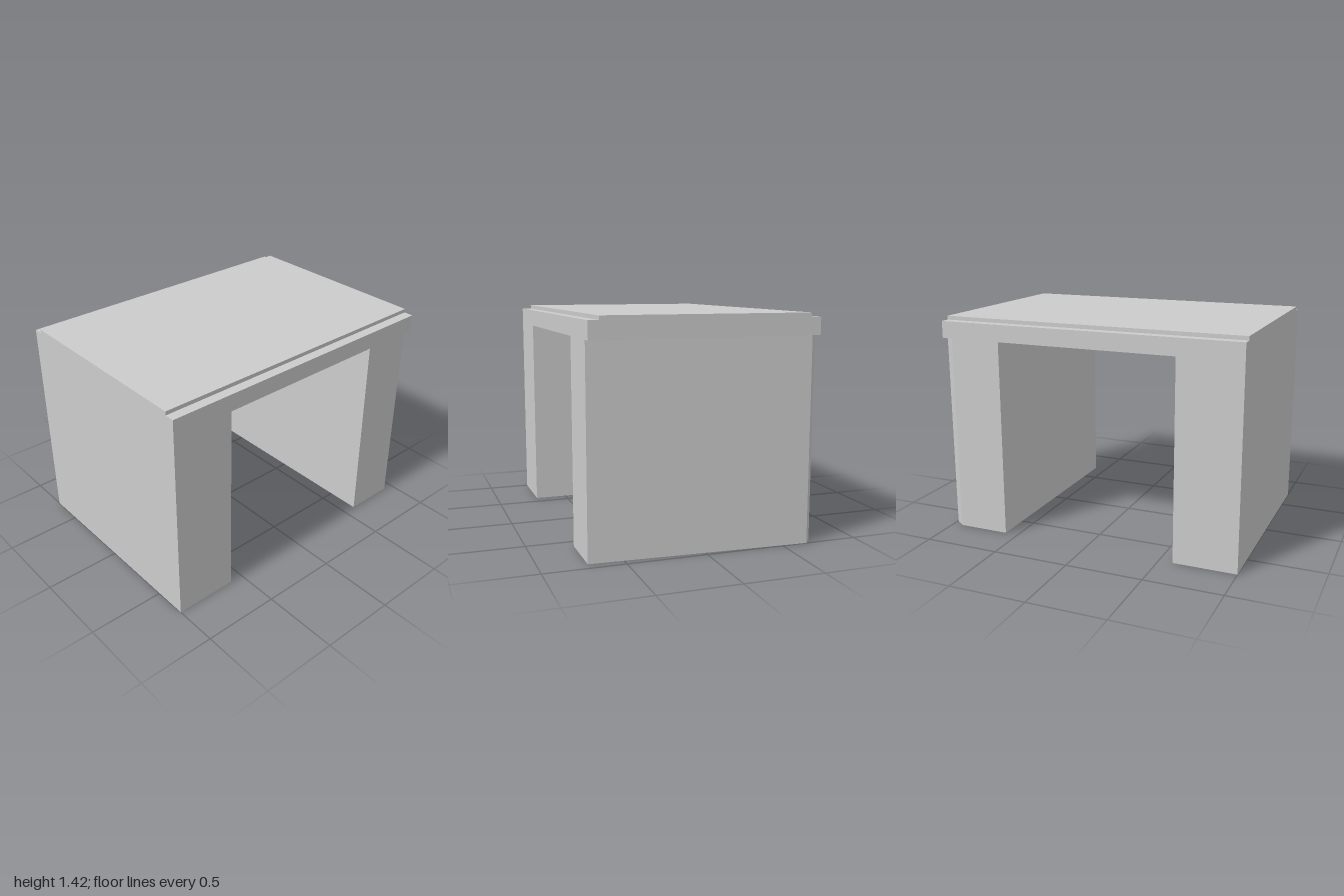
import * as THREE from 'three';

const material = new THREE.MeshStandardMaterial({ color: 0xcccccc, flatShading: true });

// Upright prism from a floor outline of [x, z] points between two heights
function prism(name, outline, y0, y1) {
  const shape = new THREE.Shape(outline.map(([x, z]) => new THREE.Vector2(x, -z)));
  const geometry = new THREE.ExtrudeGeometry(shape, { depth: y1 - y0, bevelEnabled: false });
  geometry.rotateX(-Math.PI / 2).translate(0, y0, 0);
  const mesh = new THREE.Mesh(geometry, material);
  mesh.name = name;
  return mesh;
}

export function createModel() {
  const group = new THREE.Group();
  group.name = 'archBlock';
  const front = 0.717, inner = 0.59, legTop = 1.288, slabTop = 1.398, top = 1.423;

  // Plain straight leg
  group.add(prism('rightLeg',
    [[-1, front], [-inner, front], [-inner, -0.72], [-1, -0.72]], 0, legTop));

  // Leg with a tapering outer wall and a chamfered back corner
  group.add(prism('leftLeg',
    [[inner, front], [0.932, front], [1, -0.663], [0.932, -0.717], [inner, -0.717]], 0, legTop));

  // Slab bridging the legs, its back edge very slightly skewed
  group.add(prism('slab',
    [[-1, front], [1, front], [1, -0.717], [-1, -0.72]], legTop, slabTop));

  // Thin raised deck, set back at front and rear
  group.add(prism('deck',
    [[-1, 0.654], [1, 0.654], [1, -0.653], [-1, -0.657]], slabTop, top));

  return group;
}
